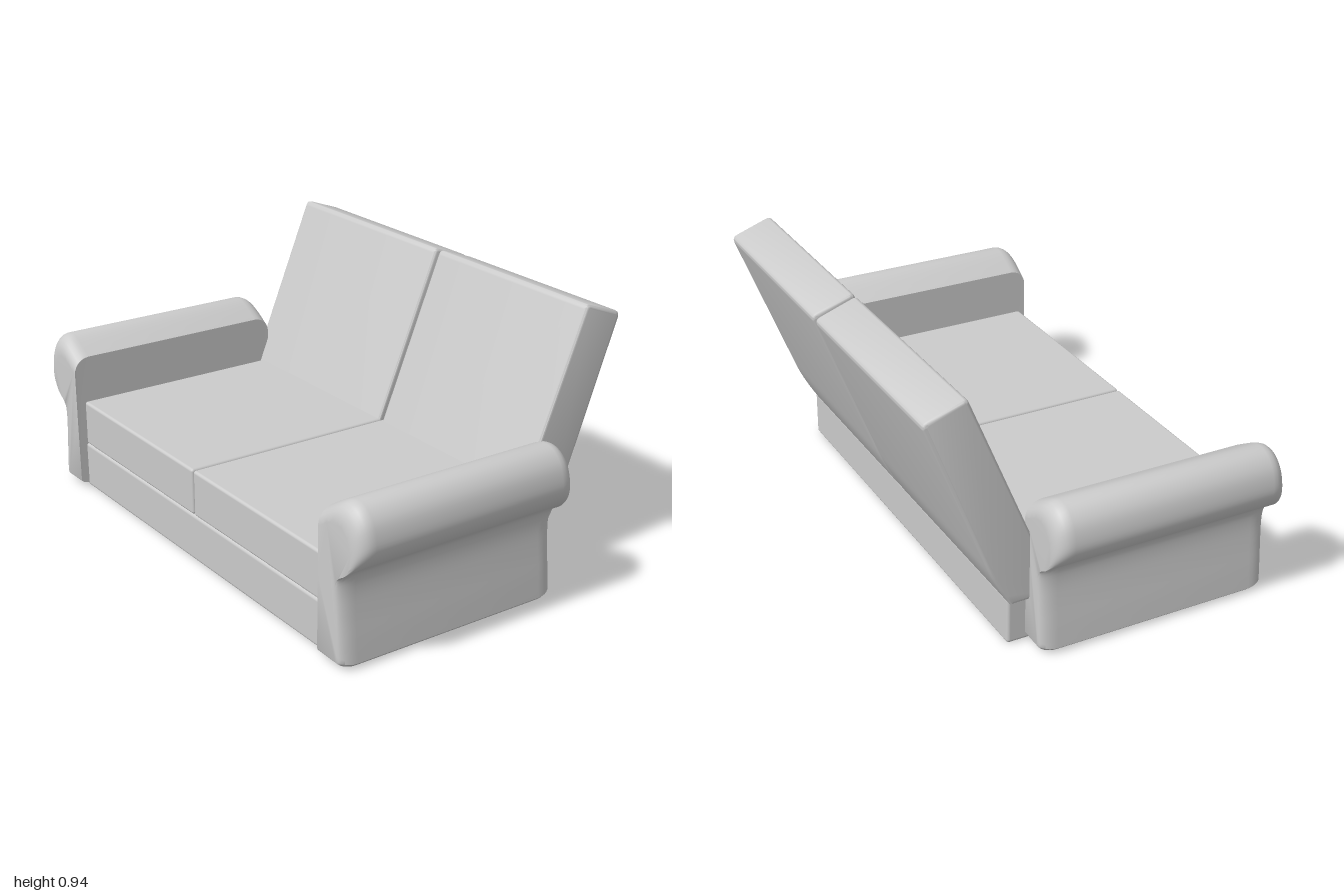
import * as THREE from 'three';
import { toCreasedNormals } from 'three/addons/utils/BufferGeometryUtils.js';
import { RoundedBoxGeometry } from 'three/addons/geometries/RoundedBoxGeometry.js';

const material = new THREE.MeshStandardMaterial({ color: 0xcccccc });

function addPart(group, name, geometry) {
  const mesh = new THREE.Mesh(geometry, material);
  mesh.name = name;
  group.add(mesh);
  return mesh;
}

// Rounded box given by its two extreme corners
function boxBetween(min, max, radius) {
  const size = max.map((v, i) => v - min[i]);
  const g = new RoundedBoxGeometry(...size, 3, radius);
  return g.translate(...max.map((v, i) => (v + min[i]) / 2));
}

// Reclined back cushion: side profile extruded across the width
function backGeometry(x0, x1) {
  const bevel = 0.012;
  const s = new THREE.Shape(); // drawn in (-z, y)
  s.moveTo(0.14, 0.17);
  s.lineTo(0.452, 0.925);
  s.quadraticCurveTo(0.459, 0.944, 0.476, 0.938);
  s.lineTo(0.592, 0.896);
  s.quadraticCurveTo(0.612, 0.888, 0.604, 0.868);
  s.lineTo(0.4, 0.34);
  s.quadraticCurveTo(0.375, 0.268, 0.31, 0.165);
  s.closePath();
  const g = new THREE.ExtrudeGeometry(s, {
    depth: x1 - x0 - 2 * bevel, bevelEnabled: true, bevelSize: bevel, bevelOffset: -bevel,
    bevelThickness: bevel, bevelSegments: 3, curveSegments: 6,
  });
  g.rotateY(Math.PI / 2).translate(x0 + bevel, 0, 0);
  return toCreasedNormals(g, 0.6);
}

// Rolled arm: scroll profile swept along z, shrinking softly at both ends
function armGeometry(side) {
  const outer = new THREE.SplineCurve([
    [0.91, 0.018], [0.904, 0.1], [0.897, 0.18], [0.893, 0.26], [0.9, 0.315], [0.925, 0.345],
    [0.965, 0.37], [0.993, 0.41], [1.0, 0.455], [0.985, 0.515], [0.95, 0.555],
    [0.905, 0.568], [0.86, 0.555], [0.785, 0.51],
  ].map(([x, y]) => new THREE.Vector2(x, y))).getPoints(52);
  const points = [[0.777, 0.01], [0.9, 0.008]].map(([x, y]) => new THREE.Vector2(x, y))
    .concat(outer, new THREE.Vector2(0.783, 0.3));
  points.forEach((p) => { p.x *= side; });

  const round = 6, steps = 2 * round + 1, zBack = -0.245, zFront = 0.607, r = 0.06;
  const g = new THREE.ExtrudeGeometry(new THREE.Shape(points), { depth: 1, steps, bevelEnabled: false });
  const pos = g.attributes.position;
  for (let i = 0; i < pos.count; i++) {
    const step = Math.round(pos.getZ(i) * steps);
    const fromEnd = Math.min(step, steps - step);
    const t = (fromEnd / round) * Math.PI / 2;
    const inset = 1 - Math.sin(t), along = r * (1 - Math.cos(t));
    const x = Math.abs(pos.getX(i)), y = pos.getY(i);
    const dx = 0.05 * inset * Math.max(0, x - 0.78) / 0.22;
    const dy = inset * (y > 0.2 ? 0.07 * (y - 0.2) / 0.37 : 0.02 * (y - 0.2) / 0.2);
    pos.setXYZ(i, side * (x - dx), y - dy, step <= round ? zBack + along : zFront - along);
  }
  return toCreasedNormals(g, 0.75);
}

export function createModel() {
  const sofa = new THREE.Group();
  sofa.name = 'sofa';

  // Plinth under the seats
  addPart(sofa, 'base', boxBetween([-0.795, 0, -0.31], [0.795, 0.172, 0.575], 0.012));

  // Two seat cushions
  addPart(sofa, 'rightSeat', boxBetween([-0.775, 0.174, -0.23], [-0.003, 0.342, 0.578], 0.01));
  addPart(sofa, 'leftSeat', boxBetween([0.003, 0.174, -0.23], [0.775, 0.342, 0.578], 0.01));

  // Two back cushions
  addPart(sofa, 'rightBack', backGeometry(-0.82, -0.003));
  addPart(sofa, 'leftBack', backGeometry(0.014, 0.781));

  // Arms
  addPart(sofa, 'rightArm', armGeometry(-1));
  addPart(sofa, 'leftArm', armGeometry(1));

  return sofa;
}
